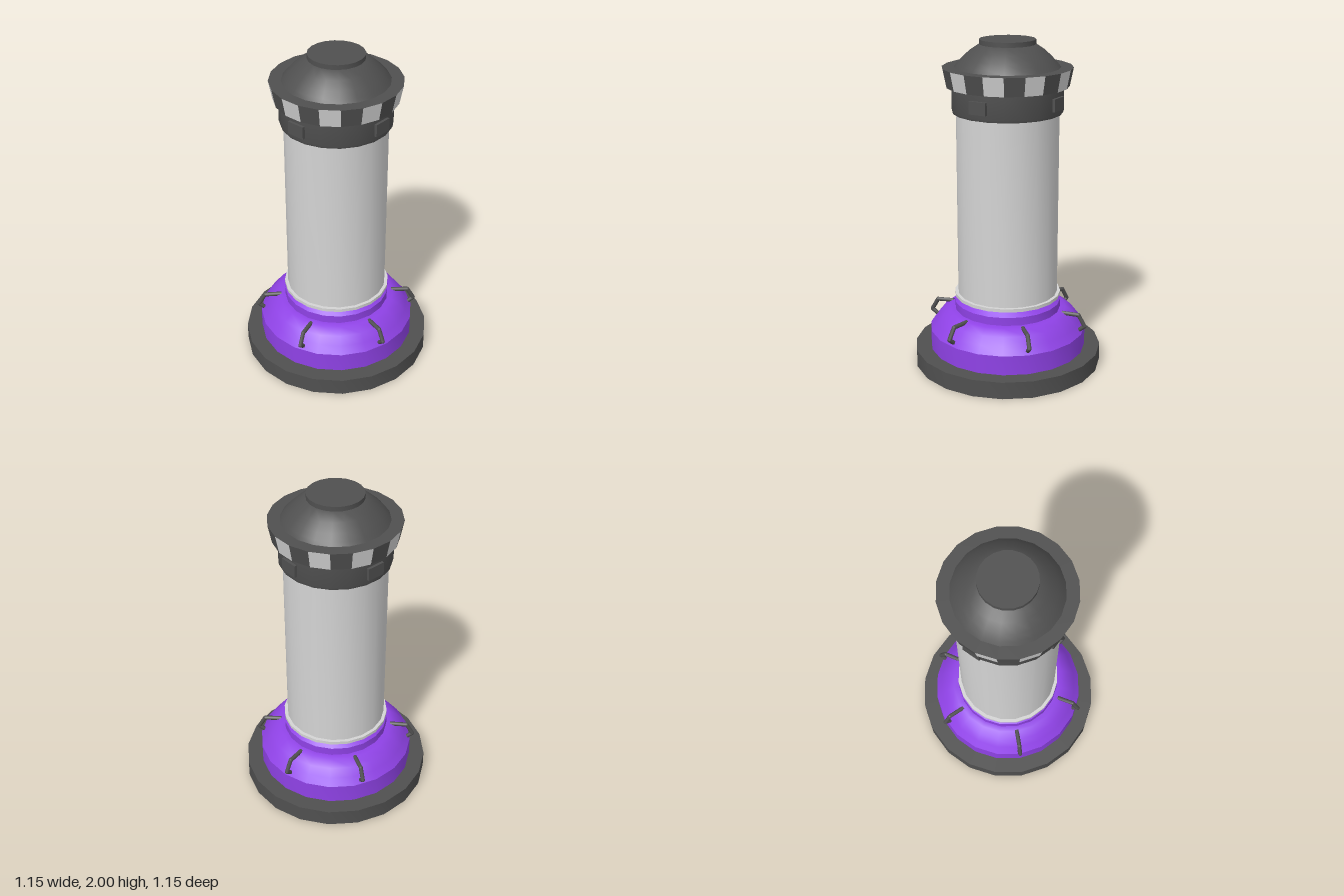
import * as THREE from 'three';
import { toCreasedNormals } from 'three/addons/utils/BufferGeometryUtils.js';

const SIDES = 20;
const material = (name, color) => new THREE.MeshStandardMaterial({ name, color });

export function createModel() {
  const model = new THREE.Group();
  model.name = 'pillar';
  const dark = material('dark grey', 0x505050);
  const light = material('light grey', 0xd4d4d4);
  const purple = material('purple', 0x8f42e6);

  const add = (name, geometry, mat, parent = model) => {
    const mesh = new THREE.Mesh(geometry, mat);
    mesh.name = name;
    parent.add(mesh);
    return mesh;
  };

  // Turned part from [radius, height] points, listed bottom to top
  const turned = (name, profile, mat, start = 0, steps = SIDES, parent = model) => {
    const points = profile.map(([r, y]) => new THREE.Vector2(r, y));
    const lathe = new THREE.LatheGeometry(points, steps, start, (steps / SIDES) * Math.PI * 2);
    return add(name, toCreasedNormals(lathe, 0.6), mat, parent);
  };

  // Foot, purple housing and column
  turned('basePlate', [[0, 0], [0.575, 0], [0.575, 0.105], [0, 0.105]], dark);
  turned('housing', [
    [0.48, 0.1], [0.48, 0.225], [0.445, 0.27], [0.41, 0.315], [0.36, 0.348],
    [0.325, 0.35], [0.325, 0.4], [0.28, 0.435], [0, 0.435],
  ], purple);
  turned('columnCollar', [[0, 0.435], [0.325, 0.435], [0.325, 0.455], [0, 0.455]], light);
  turned('column', [[0.305, 0.45], [0.305, 1.58]], light);

  // Head band with four raised blocks
  turned('headBand', [[0, 1.575], [0.325, 1.575], [0.33, 1.59], [0.33, 1.735], [0, 1.735]], dark);
  for (let i = 0; i < 4; i++) {
    const angle = Math.PI / 4 + (i * Math.PI) / 2;
    const block = add('headBlock', new THREE.BoxGeometry(0.11, 0.075, 0.04), dark);
    block.position.set(Math.sin(angle) * 0.322, 1.652, Math.cos(angle) * 0.322);
    block.rotation.y = angle;
  }

  // Flared rim with alternating panels
  const rim = new THREE.Group();
  rim.name = 'checkeredRim';
  model.add(rim);
  turned('rimUnderside', [[0.3, 1.73], [0.362, 1.73]], dark, 0, SIDES, rim);
  turned('rimTop', [[0.384, 1.84], [0.28, 1.84]], dark, 0, SIDES, rim);
  for (let i = 0; i < SIDES; i++) {
    turned('rimPanel', [[0.362, 1.73], [0.384, 1.84]], i % 2 ? light : dark,
      (i / SIDES) * Math.PI * 2, 1, rim);
  }

  // Dome and cap
  turned('dome', [
    [0.315, 1.835], [0.295, 1.862], [0.265, 1.894], [0.22, 1.935], [0.165, 1.972], [0, 1.975],
  ], dark);
  turned('cap', [[0.165, 1.968], [0.165, 2], [0, 2]], dark);

  // Six bent rod handles around the housing
  const path = [[0.35, 0.343], [0.455, 0.341], [0.494, 0.272], [0.45, 0.236]]
    .map(([r, y]) => new THREE.Vector3(0, y, r));
  const up = new THREE.Vector3(0, 1, 0);
  for (const degrees of [31, 90, 147, 204, 270, 330]) {
    const handle = new THREE.Group();
    handle.name = 'handle';
    handle.rotation.y = THREE.MathUtils.degToRad(degrees);
    model.add(handle);
    for (let i = 0; i < path.length - 1; i++) {
      const direction = path[i + 1].clone().sub(path[i]);
      const rod = add('handleRod', new THREE.CylinderGeometry(0.013, 0.013, direction.length(), 8), dark, handle);
      rod.position.copy(path[i]).add(path[i + 1]).multiplyScalar(0.5);
      rod.quaternion.setFromUnitVectors(up, direction.normalize());
      add('handleJoint', new THREE.SphereGeometry(0.013, 8, 6), dark, handle).position.copy(path[i + 1]);
    }
  }
  return model;
}
